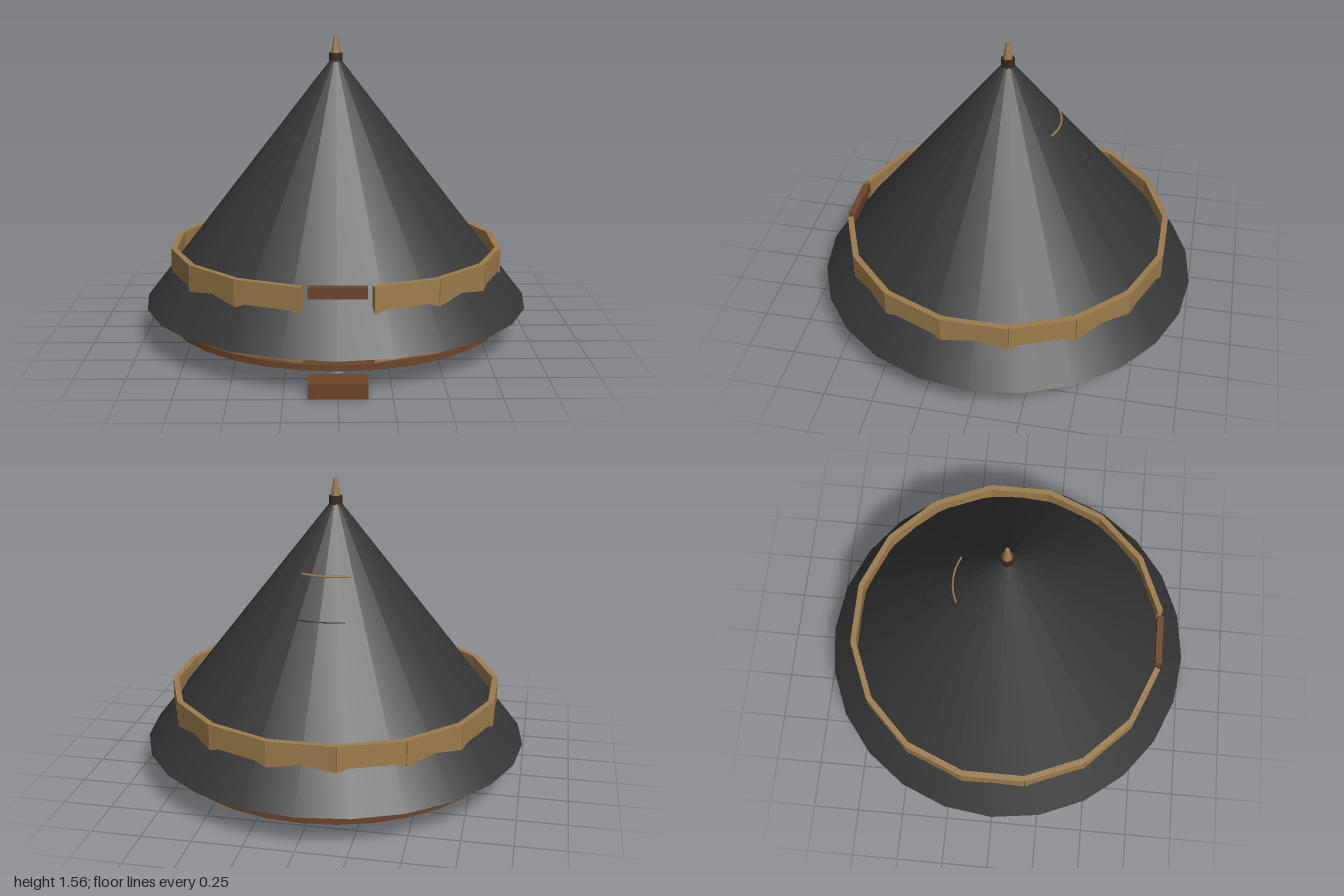
import * as THREE from 'three';

const paint = (name, color) => {
  const m = new THREE.MeshStandardMaterial({ color });
  m.name = name;
  return m;
};

export function createModel() {
  const model = new THREE.Group();
  model.name = 'roundHut';

  const roofMat = paint('charcoal roof', 0x363636);
  const wallMat = paint('tan panel', 0x9c7c4c);
  const woodMat = paint('brown wood', 0x6b4429);
  const darkMat = paint('dark wood', 0x3b2a1e);
  const footMat = paint('blue grey footing', 0x6b7a94);

  const add = (name, geo, mat, x = 0, y = 0, z = 0, parent = model) => {
    const mesh = new THREE.Mesh(geo, mat);
    mesh.name = name;
    mesh.position.set(x, y, z);
    parent.add(mesh);
    return mesh;
  };
  // Cylinder placed by its bottom and top heights
  const post = (name, mat, rTop, rBottom, y0, y1, sides, x = 0, z = 0) =>
    add(name, new THREE.CylinderGeometry(rTop, rBottom, y1 - y0, sides), mat, x, (y0 + y1) / 2, z);

  // Floor disc and roof cone
  post('floor', woodMat, 0.88, 0.88, 0.085, 0.115, 32);
  add('roof', new THREE.ConeGeometry(1, 1.29, 24), roofMat, 0, 0.825, 0);

  // Sixteen-sided wall, left open at the front for the doorway
  const wall = new THREE.Group();
  wall.name = 'wall';
  model.add(wall);
  const sides = 16;
  const panel = new THREE.BoxGeometry(0.334, 0.365, 0.03);
  for (let i = 1; i < sides; i++) {
    const a = (i / sides) * Math.PI * 2;
    const p = add('wallPanel', panel, wallMat, Math.sin(a) * 0.835, 0.2975, Math.cos(a) * 0.835, wall);
    p.rotation.y = a;
  }

  // Doorway lintel and entrance step
  add('lintel', new THREE.BoxGeometry(0.275, 0.055, 0.035), woodMat, 0, 0.4525, 0.8375);
  add('step', new THREE.BoxGeometry(0.275, 0.07, 0.125), woodMat, 0, 0.035, 0.935);

  // Central mast, its footing, collar and finial
  post('mast', darkMat, 0.035, 0.04, 0.045, 1.43, 8);
  post('mastFooting', footMat, 0.05, 0.06, 0, 0.05, 8);
  post('collar', darkMat, 0.034, 0.034, 1.42, 1.47, 8);
  post('finial', wallMat, 0.01, 0.024, 1.47, 1.56, 8);

  // Ring of short stilts on flared footings
  for (let i = 0; i < 12; i++) {
    const a = (i / 12) * Math.PI * 2;
    const x = Math.sin(a) * 0.65, z = Math.cos(a) * 0.65;
    post('stilt', darkMat, 0.025, 0.025, 0.04, 0.09, 8, x, z);
    post('footing', footMat, 0.027, 0.042, 0, 0.045, 8, x, z);
  }

  // Low slab on the floor, seen through the doorway
  add('floorSlab', new THREE.BoxGeometry(0.3, 0.025, 0.3), footMat, 0.19, 0.1275, 0);

  // Thin rims of the smoke vent, wrapped round the back of the roof
  const rim = (name, mat, radius, tube, y, half) => {
    const geo = new THREE.TorusGeometry(radius, tube, 6, 16, half * 2);
    geo.rotateZ(Math.PI / 2 - half);
    geo.rotateX(-Math.PI / 2);
    add(name, geo, mat, 0, y, 0);
  };
  rim('ventUpperRim', wallMat, 0.271, 0.006, 1.12, 0.47);
  rim('ventLowerRim', darkMat, 0.416, 0.003, 0.93, 0.3);

  return model;
}
